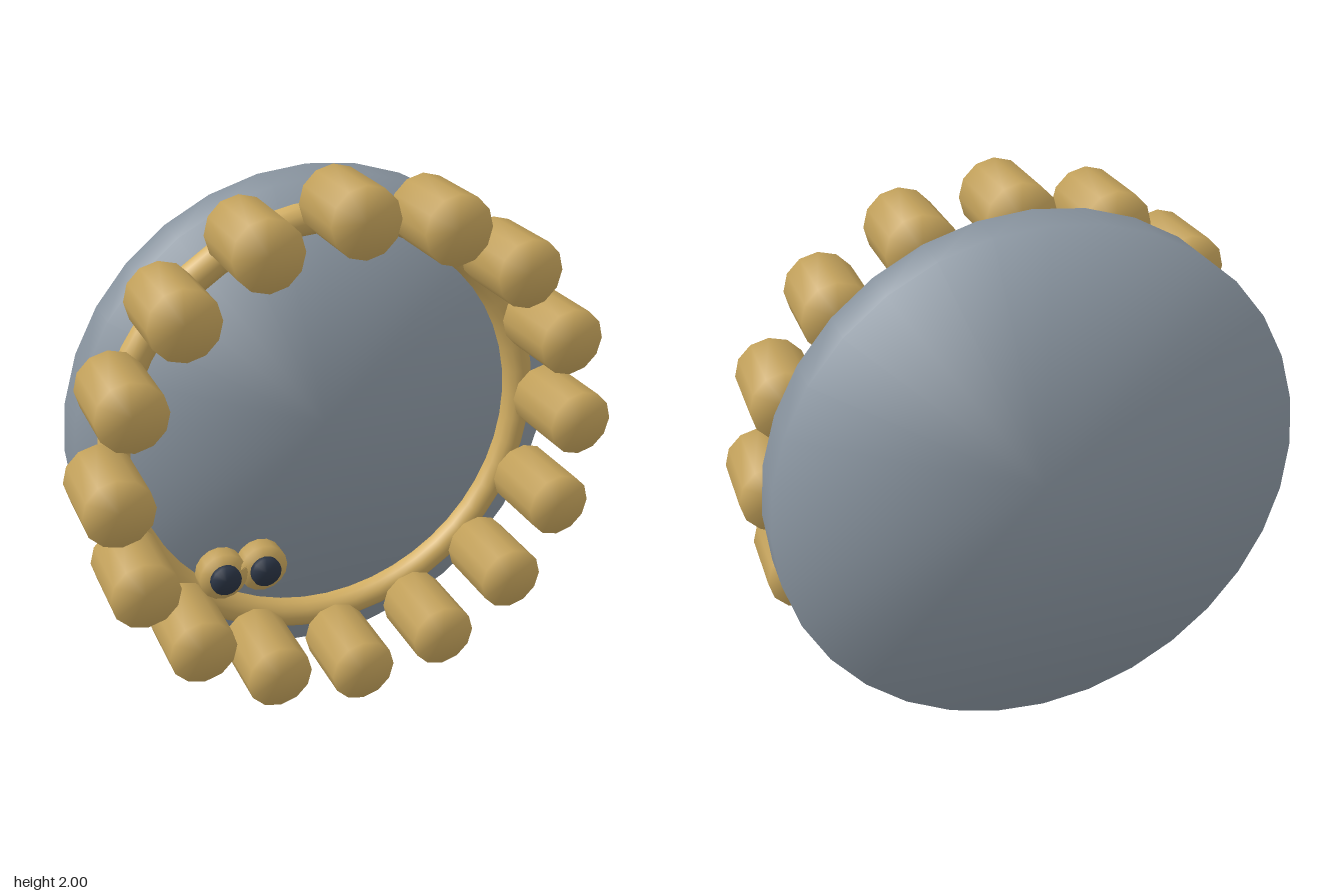
import * as THREE from 'three';

const mat = (name, color) => {
  const m = new THREE.MeshStandardMaterial({ color });
  m.name = name;
  return m;
};

// Disc along z whose rim normals are blended between side and cap
function softDisc(radius, depth, sides) {
  const g = new THREE.CylinderGeometry(radius, radius, depth, sides).rotateX(Math.PI / 2);
  const p = g.attributes.position;
  const n = new THREE.Vector3();
  for (let i = 0; i < p.count; i++) {
    n.set(p.getX(i) / radius, p.getY(i) / radius, Math.sign(p.getZ(i))).normalize();
    g.attributes.normal.setXYZ(i, n.x, n.y, n.z);
  }
  return g;
}

export function createModel() {
  const gold = mat('gold', 0xd2ae62);
  const grey = mat('steel grey', 0x929eaa);
  const dark = mat('dark navy', 0x2d3748);
  const group = new THREE.Group();

  const add = (name, geometry, material, x, y, z) => {
    const mesh = new THREE.Mesh(geometry, material);
    mesh.name = name;
    mesh.position.set(x, y, z);
    group.add(mesh);
    return mesh;
  };

  // Back plate and the rim ring resting on it
  add('backPlate', softDisc(0.94, 0.16, 32), grey, 0, 1, -0.256);
  add('rimRing', new THREE.TorusGeometry(0.802, 0.058, 12, 48), gold, 0, 1, -0.166);

  // Circle of stubby pegs
  const peg = softDisc(0.125, 0.282, 12);
  for (let i = 0; i < 16; i++) {
    const a = (i / 16) * Math.PI * 2;
    add('peg' + (i + 1), peg, gold, 0.875 * Math.cos(a), 1 + 0.875 * Math.sin(a), 0.051);
  }

  // Pair of small discs floating in front, each with a dark centre
  const button = softDisc(0.085, 0.055, 16);
  const centre = softDisc(0.053, 0.019, 16);
  for (const x of [-0.566, -0.424]) {
    add('smallDisc', button, gold, x, 0.75, 0.278);
    add('smallDiscCentre', centre, dark, x, 0.75, 0.3265);
  }
  return group;
}
